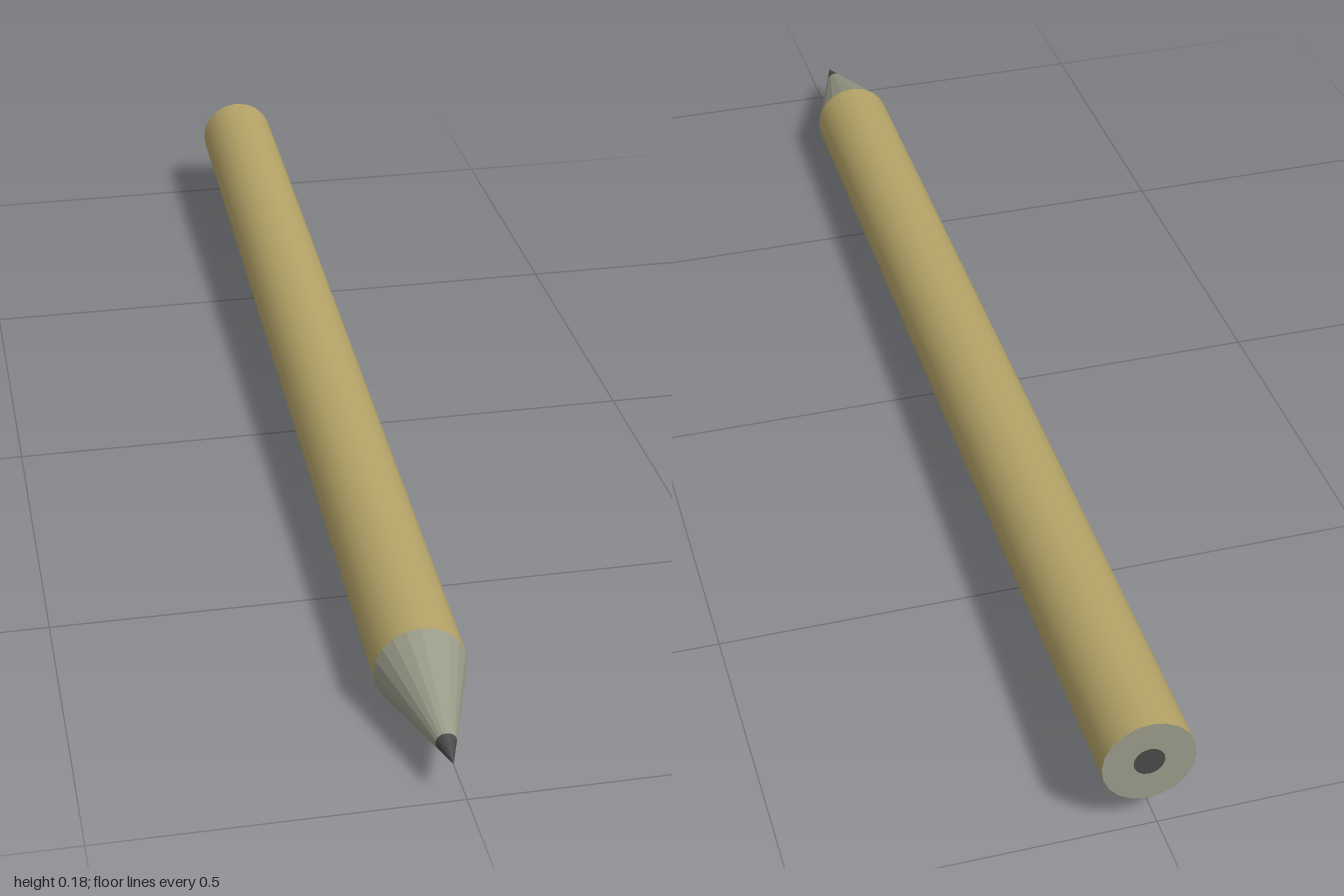
import * as THREE from 'three';

const SIDES = 20;
const R = 0.066;       // body radius
const LEAD_TIP = 0.0145; // lead radius where it leaves the sharpened wood
const LEAD_END = 0.022;  // lead radius at the flat end
const CONE = 0.21;     // length of the sharpened end

export function createModel() {
  const pencil = new THREE.Group();
  pencil.name = 'pencil';

  const tip = new THREE.Vector3(-0.0195, 0.062, 1);
  const end = new THREE.Vector3(0.0155, 0.118, -0.998);
  const length = tip.distanceTo(end);
  const bodyLength = length - CONE;
  const leadLength = CONE * LEAD_TIP / R;

  const paint = new THREE.MeshStandardMaterial({ color: 0xb5a468 });
  const wood = new THREE.MeshStandardMaterial({ color: 0x999988, flatShading: true });
  const lead = new THREE.MeshStandardMaterial({ color: 0x484848, flatShading: true });

  // Parts are stacked along local +y, from the flat end to the point
  const add = (name, geometry, material, y) => {
    const mesh = new THREE.Mesh(geometry, material);
    mesh.name = name;
    mesh.position.y = y;
    pencil.add(mesh);
  };

  // Painted barrel
  add('barrel', new THREE.CylinderGeometry(R, R, bodyLength, SIDES, 1, true), paint, bodyLength / 2);

  // Sharpened wood and lead point
  const woodLength = CONE - leadLength;
  add('sharpenedWood', new THREE.CylinderGeometry(LEAD_TIP, R, woodLength, SIDES, 1, true),
    wood, bodyLength + woodLength / 2);
  add('leadPoint', new THREE.ConeGeometry(LEAD_TIP, leadLength, SIDES, 1, true),
    lead, length - leadLength / 2);

  // Flat end: wood ring around the lead core, facing backwards
  add('endWood', new THREE.RingGeometry(LEAD_END, R, SIDES).rotateX(Math.PI / 2).rotateY(Math.PI / 2), wood, 0);
  add('endLead', new THREE.CircleGeometry(LEAD_END, SIDES).rotateX(Math.PI / 2).rotateY(Math.PI / 2), lead, 0);

  // Lay the pencil along its slightly tilted axis
  const axis = tip.clone().sub(end).normalize();
  pencil.quaternion.setFromUnitVectors(new THREE.Vector3(0, 1, 0), axis);
  pencil.position.copy(end);

  const model = new THREE.Group();
  model.name = 'model';
  model.add(pencil);
  return model;
}
